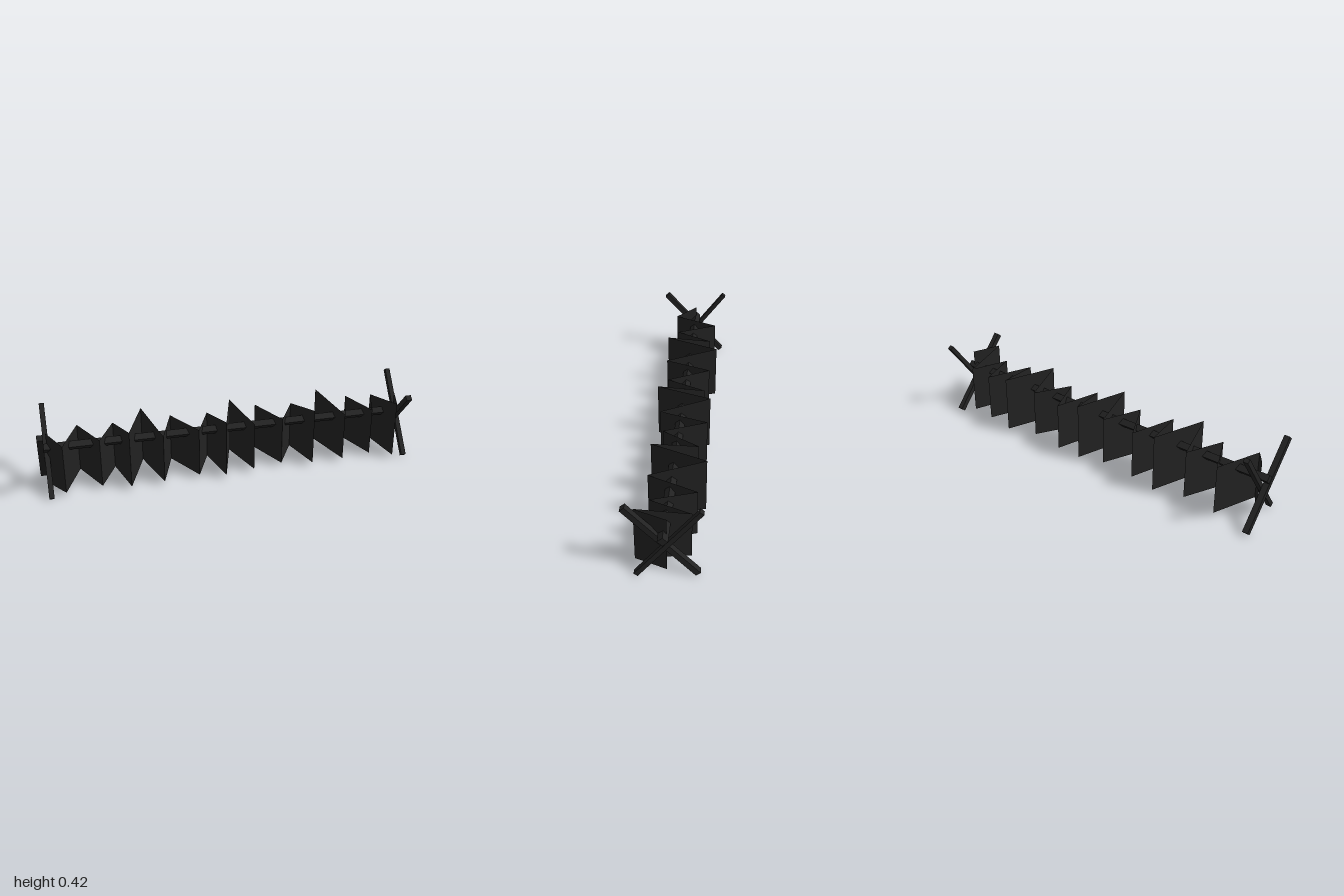
import * as THREE from 'three';

export function createModel() {
  const group = new THREE.Group();
  group.name = 'wireBarrier';
  const charcoal = new THREE.MeshStandardMaterial({ color: 0x222222, side: THREE.DoubleSide });
  charcoal.name = 'charcoal';

  // Square beam between two points in the yz plane, at a given x
  function post(name, x, depth, width, [z0, y0], [z1, y1]) {
    const dz = z1 - z0, dy = y1 - y0;
    const mesh = new THREE.Mesh(new THREE.BoxGeometry(depth, Math.hypot(dz, dy), width), charcoal);
    mesh.position.set(x, (y0 + y1) / 2, (z0 + z1) / 2);
    mesh.rotation.x = Math.atan2(dz, dy);
    mesh.name = name;
    group.add(mesh);
  }

  // Crossed posts at each end
  for (const [side, xShort, xLong] of [['right', -0.985, -0.957], ['left', 0.945, 0.973]]) {
    post(side + 'ShortPost', xShort, 0.03, 0.029, [-0.162, 0.0125], [0.174, 0.382]);
    post(side + 'LongPost', xLong, 0.026, 0.023, [0.121, 0.01], [-0.175, 0.411]);
  }

  // Crossbar, a square beam set on its edge
  const bar = new THREE.Mesh(new THREE.BoxGeometry(1.995, 0.035, 0.035), charcoal);
  bar.position.set(-0.002, 0.238, -0.005);
  bar.rotation.x = Math.PI / 4;
  bar.name = 'crossbar';
  group.add(bar);

  // Folded wire panels: x, z and top height of each fold
  const low = 0.288, high = 0.334, bottom = 0.027;
  const folds = [
    [-0.955, -0.01, 0.318], [-0.882, 0.105, low], [-0.79, -0.135, low], [-0.695, 0.08, low],
    [-0.605, -0.115, low], [-0.55, 0.125, high], [-0.447, -0.16, high], [-0.376, 0.115, low],
    [-0.295, -0.13, low], [-0.184, 0.09, low], [-0.096, -0.115, low], [-0.048, 0.13, high],
    [0.04, -0.155, high], [0.113, 0.1, low], [0.185, -0.15, low], [0.275, 0.07, low],
    [0.383, -0.12, low], [0.441, 0.11, high], [0.545, -0.17, high], [0.617, 0.105, low],
    [0.715, -0.14, low], [0.785, 0.08, low], [0.86, -0.125, low], [0.9, 0.135, high],
    [0.955, -0.02, high],
  ];
  const points = [];
  for (let i = 0; i + 1 < folds.length; i++) {
    const [xa, za, ya] = folds[i], [xb, zb, yb] = folds[i + 1];
    points.push(xa, bottom, za, xb, bottom, zb, xb, yb, zb);
    points.push(xa, bottom, za, xb, yb, zb, xa, ya, za);
  }
  const geometry = new THREE.BufferGeometry();
  geometry.setAttribute('position', new THREE.Float32BufferAttribute(points, 3));
  geometry.computeVertexNormals();
  const panels = new THREE.Mesh(geometry, charcoal);
  panels.name = 'wirePanels';
  group.add(panels);

  return group;
}
